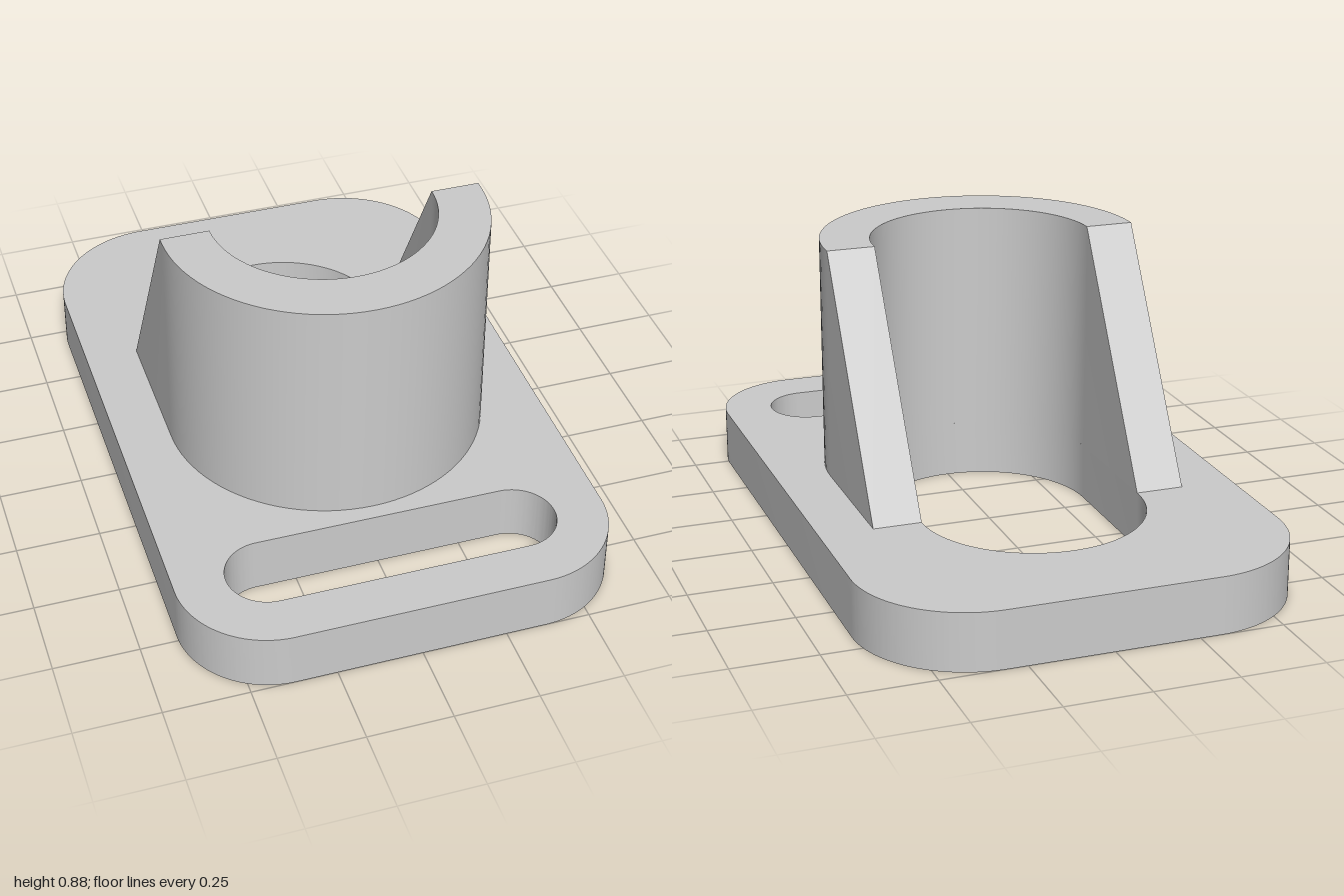
import * as THREE from 'three';
import { toCreasedNormals } from 'three/addons/utils/BufferGeometryUtils.js';

const BASE_H = 0.172, TOP = 0.88;
const HOLE_R = 0.335, HOLE_FRONT = 0.061, HOLE_BACK = -0.36;
const WALL_R = 0.48, WALL_Z = 0.079;

// Closed outline in plan (shape y = -z) through rounded corners [x, z, radius], counter-clockwise
function roundedPath(path, corners) {
  corners.forEach(([x, z, r], i) => {
    path.absarc(x, -z, r, (i - 1) * Math.PI / 2, i * Math.PI / 2, false);
  });
  path.closePath();
  return path;
}

// Corner centres: front right, back right, back left, front left
const corners = (xf, zf, rf, xb, zb, rb) =>
  [[xf, zf, rf], [xb, zb, rb], [-xb, zb, rb], [-xf, zf, rf]].map((c, i) => c);

function basePlate() {
  const shape = new THREE.Shape();
  const outline = corners(0.37, 0.73, 0.27, 0.31, -0.67, 0.33);
  // start at the front right corner: sweep -90..0, 0..90, 90..180, 180..270 degrees
  roundedPath(shape, outline);
  const hole = new THREE.Path();
  hole.absarc(0, -HOLE_FRONT, HOLE_R, Math.PI, Math.PI * 2, false);
  hole.absarc(0, -HOLE_BACK, HOLE_R, 0, Math.PI, false);
  hole.closePath();
  const slot = new THREE.Path();
  slot.absarc(0.37, -0.73, 0.122, -Math.PI / 2, Math.PI / 2, false);
  slot.absarc(-0.37, -0.73, 0.122, Math.PI / 2, Math.PI * 1.5, false);
  slot.closePath();
  shape.holes.push(hole, slot);
  const geo = new THREE.ExtrudeGeometry(shape, { depth: BASE_H, bevelEnabled: false, curveSegments: 32 });
  geo.rotateX(-Math.PI / 2);
  return toCreasedNormals(geo, 0.5);
}

// U-shaped wall whose two arms slope down to the plate at the back
function curvedWall() {
  const N = 48, sections = [];
  const section = (outer, inner, topZ) => ({
    ob: [outer[0], BASE_H, outer[1]], ot: [outer[0], TOP, topZ ?? outer[1]],
    ib: [inner[0], BASE_H, inner[1]], it: [inner[0], TOP, topZ ?? inner[1]],
  });
  const arm = s => section([s * WALL_R, HOLE_BACK], [s * HOLE_R, HOLE_BACK], HOLE_FRONT - 0.001);
  sections.push(arm(1));
  for (let i = 0; i <= N; i++) {
    const c = Math.cos(i / N * Math.PI), s = Math.sin(i / N * Math.PI);
    sections.push(section([WALL_R * c, WALL_Z + WALL_R * s], [HOLE_R * c, HOLE_FRONT + HOLE_R * s]));
  }
  sections.push(arm(-1));

  const pos = [];
  const quad = (a, b, c, d) => pos.push(...a, ...b, ...c, ...a, ...c, ...d);
  for (let i = 0; i < sections.length - 1; i++) {
    const a = sections[i], b = sections[i + 1];
    quad(b.ob, a.ob, a.ot, b.ot); // outside
    quad(a.ib, b.ib, b.it, a.it); // inside
    quad(b.ot, a.ot, a.it, b.it); // rim
  }
  // sloped ends
  const f = sections[0], l = sections[sections.length - 1];
  quad(f.ob, f.ib, f.it, f.ot);
  quad(l.ib, l.ob, l.ot, l.it);

  const geo = new THREE.BufferGeometry();
  geo.setAttribute('position', new THREE.Float32BufferAttribute(pos, 3));
  return toCreasedNormals(geo, 0.5);
}

export function createModel() {
  const group = new THREE.Group();
  const material = new THREE.MeshStandardMaterial({ color: 0xcccccc });
  const add = (name, geo) => {
    const mesh = new THREE.Mesh(geo, material);
    mesh.name = name;
    group.add(mesh);
  };
  add('basePlate', basePlate());
  add('curvedWall', curvedWall());
  return group;
}
